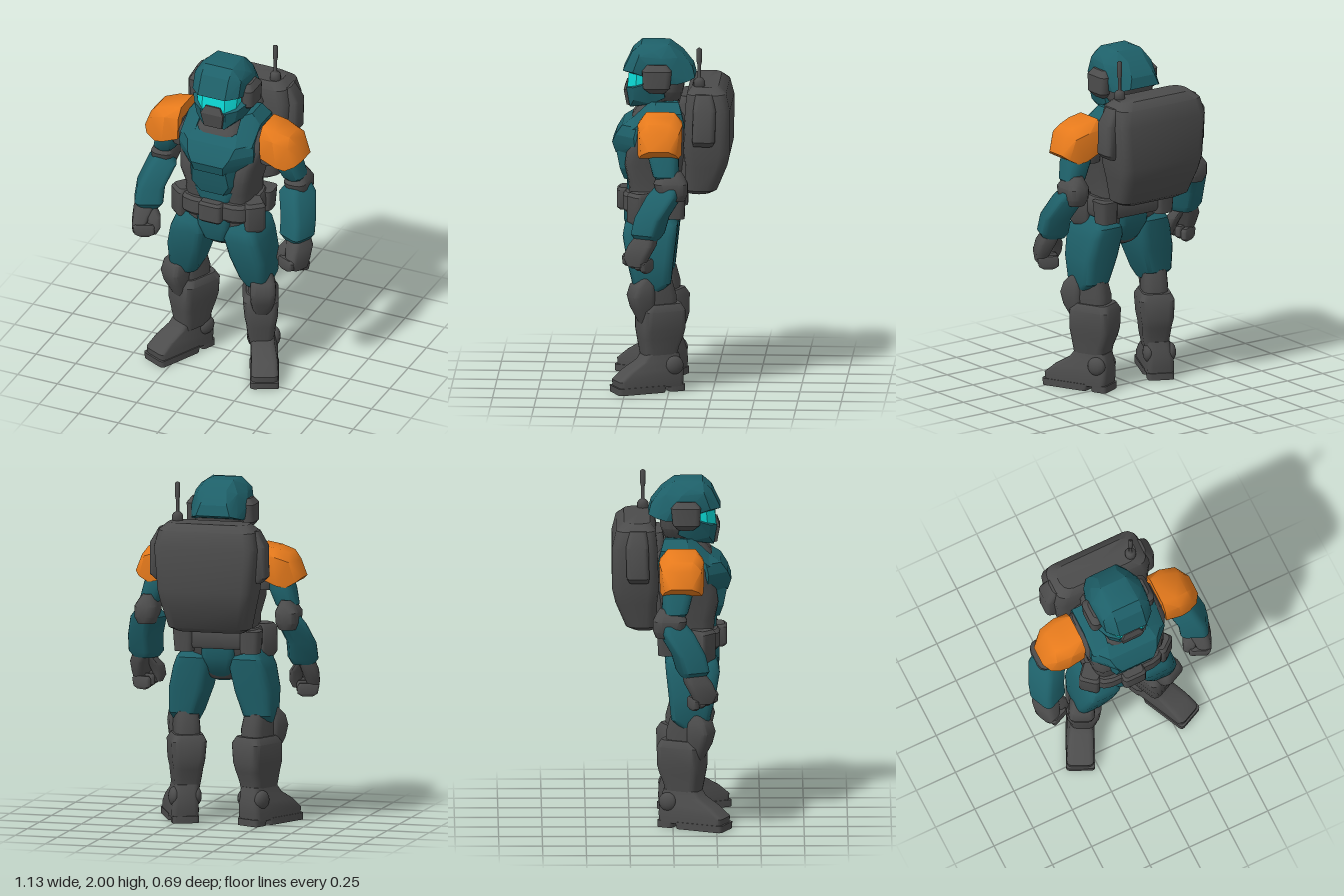
import * as THREE from 'three';
import { toCreasedNormals } from 'three/addons/utils/BufferGeometryUtils.js';
import { ConvexGeometry } from 'three/addons/geometries/ConvexGeometry.js';

const paint = (name, color) => {
  const m = new THREE.MeshStandardMaterial({ color });
  m.name = name;
  return m;
};

// Outline of a rounded rectangle at height y, four points per corner
function ring([y, x0, x1, z0, z1], radius) {
  const r = Math.min(radius, (x1 - x0) * 0.49, (z1 - z0) * 0.49);
  const corners = [[x1 - r, z1 - r], [x0 + r, z1 - r], [x0 + r, z0 + r], [x1 - r, z0 + r]];
  return corners.flatMap(([cx, cz], q) => [0, 1, 2, 3].map((k) => {
    const a = (q + k / 3) * Math.PI / 2;
    return [cx + r * Math.cos(a), y, cz + r * Math.sin(a)];
  }));
}

// Solid through sections [y, x0, x1, z0, z1] listed bottom to top; side -1 mirrors it
function loft(sections, radius = 0.04, side = 1) {
  const n = 16, pos = [], idx = [], last = sections.length - 1;
  for (const s of sections) for (const [x, y, z] of ring(s, radius)) pos.push(x * side, y, z);
  for (const s of [sections[0], sections[last]]) pos.push(side * (s[1] + s[2]) / 2, s[0], (s[3] + s[4]) / 2);
  const face = (a, b, c) => idx.push(...(side > 0 ? [a, b, c] : [a, c, b]));
  const base = n * (last + 1);
  for (let j = 0; j < n; j++) {
    const k = (j + 1) % n;
    for (let i = 0; i < last; i++) {
      face(i * n + j, i * n + n + j, i * n + k);
      face(i * n + k, i * n + n + j, i * n + n + k);
    }
    face(base, j, k);
    face(base + 1, last * n + k, last * n + j);
  }
  const g = new THREE.BufferGeometry();
  g.setAttribute('position', new THREE.Float32BufferAttribute(pos, 3));
  g.setIndex(idx);
  return toCreasedNormals(g, 0.62);
}

const hull = (pts, side = 1, crease = 0.35) => toCreasedNormals(
  new ConvexGeometry(pts.map(([x, y, z]) => new THREE.Vector3(x * side, y, z))), crease);
const symHull = (pts) => hull(pts.flatMap(([x, y, z]) => [[x, y, z], [-x, y, z]]));

// Chest-like levels [y, frontX, frontZ, sideX, sideZ, backZ]
const plate = (levels) => symHull(levels.flatMap(([y, xf, zf, xs, zs, zb]) =>
  [[xf, y, zf], [xs, y, zs], [xs, y, zb]]));

export function createModel() {
  const model = new THREE.Group();
  const teal = paint('teal armour', 0x1e6069);
  const grey = paint('dark grey', 0x4c4c4c);
  const orange = paint('orange', 0xe67a1c);
  const cyan = paint('cyan visor', 0x0cdcd8);
  const add = (name, geometry, material, parent = model) => {
    const m = new THREE.Mesh(geometry, material);
    m.name = name;
    parent.add(m);
    return m;
  };

  // Torso
  add('torso', loft([[1.08, -.2, .2, -.06, .23], [1.2, -.2, .2, -.06, .24], [1.3, -.225, .225, -.07, .26],
    [1.37, -.23, .23, -.08, .25], [1.5, -.27, .27, -.09, .19], [1.58, -.24, .24, -.09, .15], [1.63, -.16, .16, -.07, .13]], .07), grey);
  add('chestPlate', plate([[1.58, .13, .2, .2, .13, -.02], [1.53, .15, .275, .225, .19, -.02],
    [1.47, .13, .315, .235, .205, -.02], [1.42, .1, .335, .23, .2, -.02], [1.36, .09, .315, .18, .2, 0]]), teal);
  add('abdomenPlate', plate([[1.37, .105, .31, .15, .24, .05], [1.27, .115, .29, .14, .24, .05],
    [1.2, .07, .268, .1, .24, .05]]), teal);
  add('waistPlate', loft([[1.1, -.09, .09, .05, .25], [1.21, -.14, .14, .05, .252]], .05), teal);
  add('collar', loft([[1.5, -.15, .15, -.05, .24], [1.58, -.14, .14, -.05, .22], [1.65, -.11, .11, -.04, .17]], .07), grey);
  add('neck', loft([[1.58, -.09, .09, -.03, .13], [1.8, -.09, .09, -.05, .13]], .07), grey);

  // Pelvis and belt
  add('pelvis', loft([[.83, -.07, .07, .04, .19], [.9, -.125, .125, -.01, .235], [1.04, -.2, .2, -.04, .24]], .05), grey);
  add('groinPlate', loft([[.82, -.045, .045, .06, .17], [.87, -.075, .075, .0, .24],
    [.96, -.1, .1, -.05, .268], [1.05, -.11, .11, -.05, .268]], .04), teal);
  add('belt', loft([[1.02, -.22, .22, -.065, .255], [1.04, -.23, .23, -.075, .27], [1.12, -.23, .23, -.075, .27],
    [1.14, -.22, .22, -.065, .255]], .1), grey);
  add('buckle', loft([[1.015, -.06, .06, .2, .295], [1.03, -.07, .07, .2, .31], [1.13, -.07, .07, .2, .31],
    [1.145, -.06, .06, .2, .295]], .02), grey);

  // Head
  add('skull', loft([[1.66, -.1, .1, -.05, .16], [1.72, -.14, .14, -.07, .18], [1.86, -.14, .14, -.08, .18]], .07), grey);
  add('helmetDome', symHull([[.085, 1.99, .17], [.05, 2, .09], [.08, 1.99, .01], [.135, 1.955, .1], [.145, 1.93, .18],
    [.085, 1.945, .222], [.155, 1.92, .05], [.085, 1.835, .274], [.145, 1.835, .215], [.165, 1.86, .1], [.165, 1.85, 0],
    [.12, 1.92, -.04], [.06, 1.94, -.065], [.1, 1.8, -.14], [.08, 1.86, -.125], [.135, 1.785, -.1], [.155, 1.77, -.04], [.15, 1.77, .02]]), teal);
  add('visor', symHull([[.13, 1.85, .19], [.12, 1.73, .2], [.07, 1.85, .238], [.07, 1.73, .25],
    [.13, 1.85, .1], [.13, 1.73, .1]]), cyan);
  add('jawGuard', symHull([[.135, 1.745, .212], [.17, 1.77, .15], [.17, 1.8, .05], [.15, 1.69, .03], [.13, 1.65, .11],
    [.12, 1.67, .21], [.08, 1.735, .254], [.065, 1.62, .235], [.06, 1.63, .12]]), teal);
  add('breathingMask', symHull([[.045, 1.765, .255], [.07, 1.72, .27], [.055, 1.63, .254], [.05, 1.62, .2],
    [.045, 1.765, .18], [.07, 1.72, .18]]), grey);

  // Backpack and antenna
  add('backpack', loft([[1.14, -.2, .2, -.23, -.1], [1.165, -.24, .24, -.27, -.09], [1.31, -.27, .27, -.33, -.09],
    [1.39, -.285, .285, -.348, -.08], [1.64, -.305, .305, -.348, -.09], [1.735, -.285, .285, -.325, -.1], [1.775, -.24, .24, -.28, -.13]], .06), grey);
  add('backpackMount', loft([[1.2, -.15, .15, -.13, -.05], [1.66, -.16, .16, -.14, -.05], [1.7, -.14, .14, -.14, -.06]], .03), grey);
  add('antenna', new THREE.LatheGeometry([[0, 0], [.032, 0], [.032, .05], [.02, .065], [.01, .07], [.01, .14], [.015, .16], [.015, .235], [0, .245]]
    .map(([x, y]) => new THREE.Vector2(x, y)), 12), grey).position.set(.2, 1.755, -.17);

  for (const s of [1, -1]) {
    const word = s > 0 ? 'left' : 'right';
    const put = (name, sections, material, r, parent) => add(word + name, loft(sections, r, s), material, parent);
    // Limb segment frame turned about the vertical
    const limb = (name, x, z, turn) => {
      const g = new THREE.Group();
      g.name = word + name;
      g.position.set(s * x, 0, z);
      g.rotation.y = s * turn;
      model.add(g);
      return g;
    };

    // Head and torso side parts
    put('EarGuard', [[1.72, .13, .175, .03, .12], [1.75, .13, .2, .0, .155], [1.85, .13, .2, -.01, .16], [1.885, .13, .175, .02, .13]], grey, .03);
    add(word + 'ShoulderStrap', hull([[.13, 1.52, .27], [.225, 1.52, .21], [.12, 1.66, .12], [.17, 1.67, .08], [.225, 1.61, .09],
      [.12, 1.67, -.04], [.17, 1.67, -.05], [.225, 1.61, -.07], [.12, 1.5, -.095], [.22, 1.5, -.095]], s), teal);
    const pouch = limb('BeltPouchMount', .215, .165, .7);
    put('BeltPouch', [[.96, -.05, .05, -.05, .05], [.985, -.06, .06, -.05, .065], [1.13, -.06, .06, -.05, .065],
      [1.15, -.05, .05, -.05, .05]], grey, .02, pouch);
    put('BackPouch', [[1.0, .14, .25, -.085, .02], [1.13, .14, .26, -.09, .03]], grey, .03);
    put('BackpackPod', [[1.44, .27, .315, -.25, -.14], [1.47, .27, .345, -.265, -.135], [1.65, .27, .345, -.27, -.14],
      [1.74, .24, .295, -.25, -.15]], grey, .03);

    // Upper arm and rounded shoulder pad
    add(word + 'ShoulderPad', hull([[.255, 1.63, -.03], [.255, 1.63, .13], [.255, 1.575, -.075], [.255, 1.575, .172],
      [.26, 1.44, -.07], [.26, 1.44, .172], [.34, 1.615, -.03], [.34, 1.615, .13], [.34, 1.57, -.08], [.34, 1.57, .177],
      [.42, 1.59, -.01], [.42, 1.59, .115], [.43, 1.54, -.065], [.43, 1.54, .162], [.41, 1.39, -.06], [.41, 1.39, .165],
      [.36, 1.4, -.075], [.36, 1.4, .175], [.46, 1.54, .0], [.46, 1.54, .1], [.495, 1.445, -.01], [.495, 1.445, .105],
      [.465, 1.42, -.05], [.465, 1.42, .15]], s, 0.8), orange);
    put('ShoulderJoint', [[1.37, .22, .33, -.04, .12], [1.45, .22, .35, -.06, .14], [1.55, .22, .35, -.04, .12]], grey, .05);
    put('UpperArm', [[1.25, .38, .45, -.05, .05], [1.29, .34, .468, -.065, .085], [1.38, .3, .445, -.06, .11], [1.5, .27, .4, -.05, .12]], teal, .05);
    put('Elbow', [[1.15, .37, .47, -.1, .03], [1.19, .355, .487, -.115, .065], [1.25, .35, .487, -.115, .08],
      [1.29, .365, .465, -.095, .06], [1.32, .38, .44, -.075, .0]], grey, .05);

    // Forearm and fist, turned inward
    const arm = limb('LowerArm', .45, .07, -.42);
    put('Forearm', [[.93, -.03, .095, -.03, .095], [.965, -.05, .115, -.05, .112], [1.06, -.06, .1, -.075, .095],
      [1.18, -.125, .035, -.13, .05], [1.225, -.105, .0, -.125, .02]], teal, .035, arm);
    put('Palm', [[.78, .07, .125, .02, .125], [.83, .05, .13, .0, .152], [.9, .02, .12, -.03, .125], [.96, -.01, .095, -.03, .085]], grey, .03, arm);
    for (let i = 0; i < 4; i++) {
      const z = .005 + i * .038, y = i * .012;
      put('Finger' + (i + 1), [[.74 + y, .025, .09, z + .005, z + .032], [.755 + y, .0, .115, z, z + .037],
        [.8 + y, .0, .125, z, z + .037], [.815 + y, .01, .11, z + .005, z + .032]], grey, .015, arm);
    }
    put('Thumb', [[.78, -.015, .03, .09, .135], [.82, -.035, .035, .08, .145], [.88, -.035, .045, .05, .13], [.93, -.01, .07, .02, .09]], grey, .025, arm);

    // Upper leg
    put('Thigh', [[.575, .155, .295, .05, .185], [.63, .13, .31, -.01, .212], [.77, .085, .308, -.025, .245], [.9, .06, .278, -.04, .268],
      [.96, .065, .255, -.045, .258], [1.02, .09, .21, 0, .22]], teal, .05);

    // Lower leg, turned outward with the foot
    const leg = limb('LowerLeg', .21, .06, .44);
    put('KneeJoint', [[.44, -.07, .07, -.09, .09], [.55, -.07, .075, -.095, .1], [.64, -.065, .07, -.07, .1]], grey, .05, leg);
    put('KneePad', [[.4, -.04, .06, .05, .125], [.49, -.055, .085, .05, .17], [.56, -.06, .09, .05, .188], [.62, -.055, .085, .05, .17],
      [.67, -.03, .06, .05, .125]], grey, .035, leg);
    put('Shin', [[.17, -.06, .075, -.09, .1], [.25, -.075, .085, -.1, .11], [.31, -.08, .09, -.125, .12], [.36, -.09, .1, -.135, .125],
      [.47, -.1, .105, -.135, .12], [.51, -.08, .085, -.115, .095]], grey, .04, leg);
    put('Boot', [[.03, -.054, .103, -.115, .275], [.075, -.054, .103, -.12, .28], [.13, -.052, .097, -.12, .215], [.18, -.052, .085, -.11, .13],
      [.22, -.055, .08, -.1, .1]], grey, .03, leg);
    put('ToeSole', [[0, -.06, .107, .0, .285], [.04, -.06, .107, -.01, .288]], grey, .02, leg);
    put('HeelSole', [[0, -.052, .1, -.125, -.03], [.04, -.052, .1, -.125, -.02]], grey, .02, leg);
    for (const x of [-.042, .085]) {
      const ankle = add(word + 'AnkleGuard', new THREE.SphereGeometry(.055, 14, 10), grey, leg);
      ankle.position.set(s * x, .15, -.06);
      ankle.scale.x = .6;
    }
  }
  return model;
}
